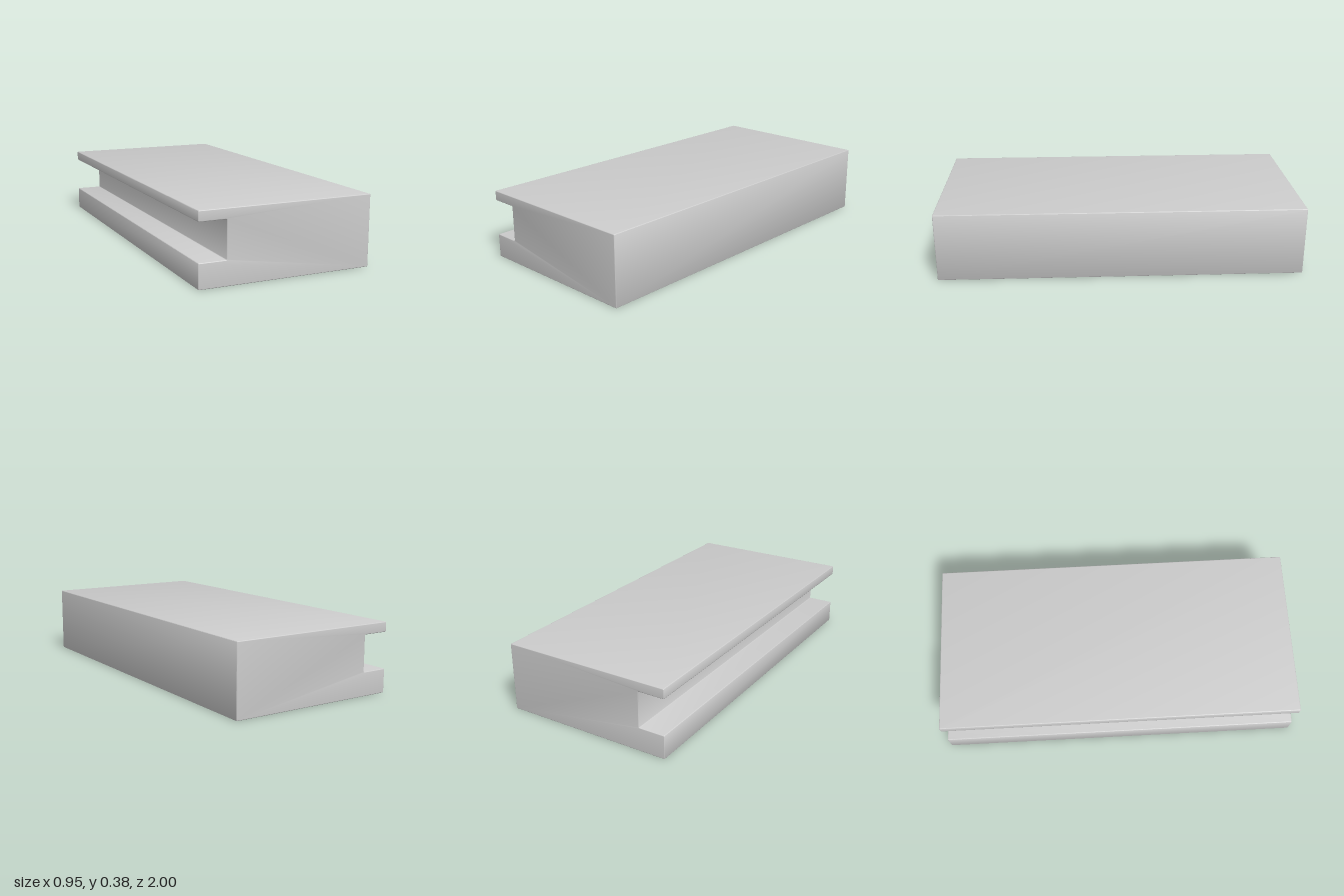
import * as THREE from 'three';
import { toCreasedNormals } from 'three/addons/utils/BufferGeometryUtils.js';

const LENGTH = 2;
const ROUND = 0.006; // corner radius of the profile
const BEVEL = 0.004; // softened edge around both ends

// Closed outline whose corners are all slightly rounded
function roundedShape(points, r) {
  const pts = points.map(([x, y]) => new THREE.Vector2(x, y));
  const toward = (a, b) => b.clone().sub(a).setLength(r).add(a);
  const shape = new THREE.Shape();
  pts.forEach((p, i) => {
    const start = toward(p, pts[(i + pts.length - 1) % pts.length]);
    const end = toward(p, pts[(i + 1) % pts.length]);
    if (i === 0) shape.moveTo(start.x, start.y);
    else shape.lineTo(start.x, start.y);
    shape.quadraticCurveTo(p.x, p.y, end.x, end.y);
  });
  shape.closePath();
  return shape;
}

export function createModel() {
  const group = new THREE.Group();
  group.name = 'groovedBlock';

  // Block section with a channel cut into the -x side
  const profile = roundedShape([
    [-0.474, 0], [0.474, 0], [0.474, 0.38], [-0.474, 0.38],
    [-0.474, 0.326], [-0.327, 0.326], [-0.327, 0.13], [-0.474, 0.13],
  ], ROUND);

  const geometry = new THREE.ExtrudeGeometry(profile, {
    depth: LENGTH - 2 * BEVEL,
    curveSegments: 4,
    bevelEnabled: true,
    bevelThickness: BEVEL,
    bevelSize: BEVEL,
    bevelOffset: -BEVEL,
    bevelSegments: 3,
  });
  geometry.translate(0, 0, BEVEL - LENGTH / 2);

  const block = new THREE.Mesh(
    toCreasedNormals(geometry, 0.6),
    new THREE.MeshStandardMaterial({ color: 0xcccccc }),
  );
  block.name = 'block';
  group.add(block);
  return group;
}
